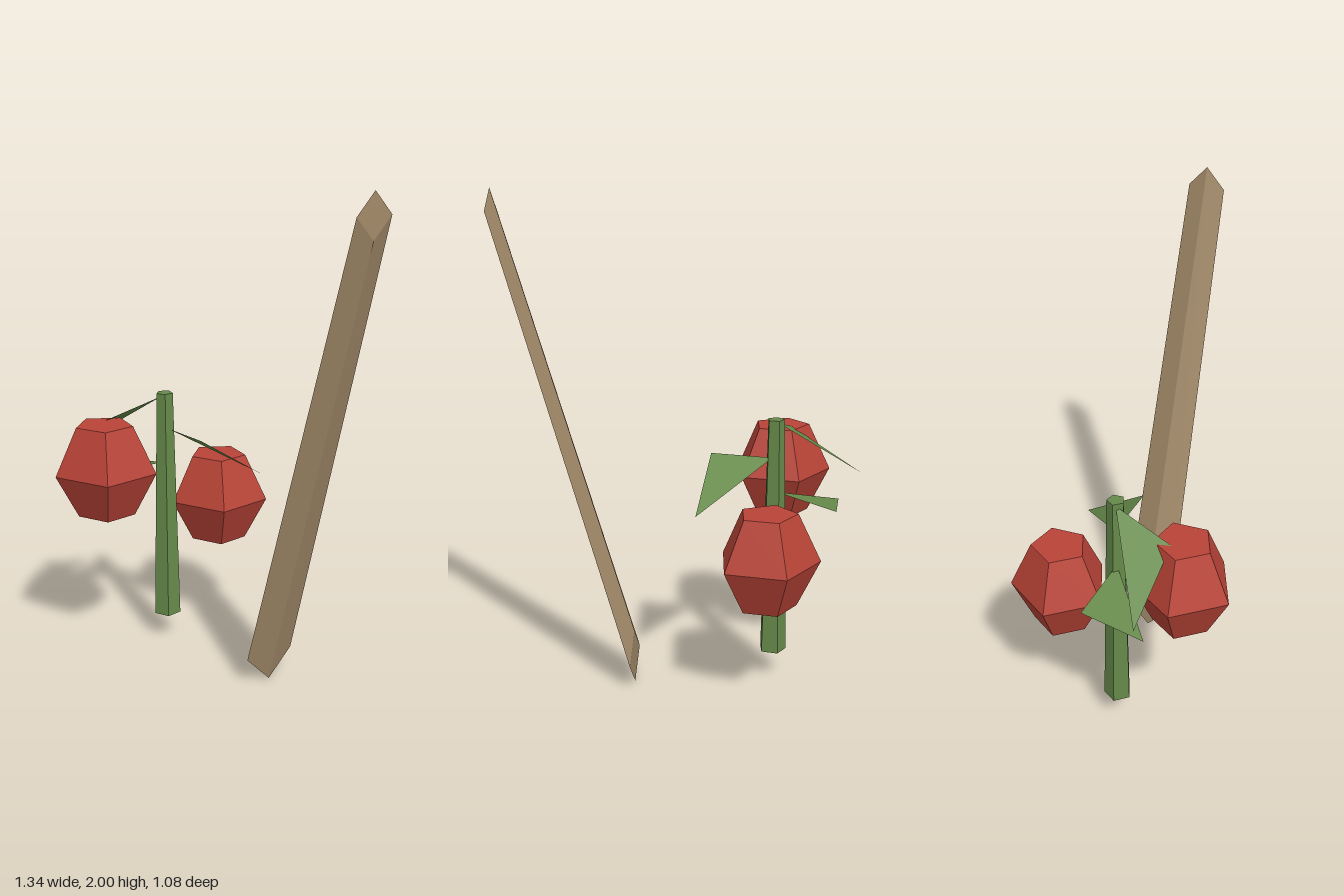
import * as THREE from 'three';
import { ConvexGeometry } from 'three/addons/geometries/ConvexGeometry.js';

const paint = (name, color, side = THREE.FrontSide) => {
  const m = new THREE.MeshStandardMaterial({ color, flatShading: true, side });
  m.name = name;
  return m;
};

export function createModel() {
  const group = new THREE.Group();
  const red = paint('fruit red', 0xb84337);
  const green = paint('leaf green', 0x668a4a, THREE.DoubleSide);
  const brown = paint('stake brown', 0xa28a69);

  const add = (name, geometry, material) => {
    const mesh = new THREE.Mesh(geometry, material);
    mesh.name = name;
    group.add(mesh);
    return mesh;
  };

  // five-sided tapered stem, one corner towards +x
  add('stem', new THREE.CylinderGeometry(0.035, 0.0575, 0.985, 5, 1, false, Math.PI / 2), green)
    .position.set(-0.255, 0.61, -0.173);

  // faceted fruits: flat caps and a wide waist
  const profile = [[0, -0.188], [0.563, -0.188], [1, -0.007], [0.563, 0.188], [0, 0.188]]
    .map(([r, y]) => new THREE.Vector2(r, y));
  const fruits = { lowerFruit: [-0.067, 0.606, -0.352], upperFruit: [-0.457, 0.823, 0.025] };
  for (const [name, position] of Object.entries(fruits)) {
    const geometry = new THREE.LatheGeometry(profile, 5, Math.PI / 2);
    geometry.scale(0.2128, 1, 0.2015);
    add(name, geometry, red).position.set(...position);
  }

  // flat triangular leaves: stem end, side corner, tip
  const leaves = {
    leftLeaf: [[-0.24, 0.947, -0.173], [-0.065, 0.958, 0], [0.146, 0.778, -0.174]],
    upperRightLeaf: [[-0.268, 1.085, -0.178], [-0.67, 0.825, -0.237], [-0.468, 1.012, -0.028]],
    lowerRightLeaf: [[-0.262, 0.8, -0.174], [-0.417, 0.735, -0.363], [-0.607, 0.705, -0.178]],
  };
  for (const [name, corners] of Object.entries(leaves)) {
    // order the corners so that the face points up
    const [a, b, c] = corners.map(p => new THREE.Vector3(...p));
    const up = b.clone().sub(a).cross(c.clone().sub(a)).y > 0;
    const geometry = new THREE.BufferGeometry().setFromPoints(up ? [a, b, c] : [a, c, b]);
    geometry.computeVertexNormals();
    add(name, geometry, green);
  }

  // leaning stake with diamond-shaped upright ends
  const diamond = (x, y, z, w, h) => [
    new THREE.Vector3(x + w, y, z - w), new THREE.Vector3(x, y + h, z),
    new THREE.Vector3(x - w, y, z + w), new THREE.Vector3(x, y - h, z),
  ];
  add('stake', new ConvexGeometry([
    ...diamond(0.238, 0.112, 0.119, 0.076, 0.112),
    ...diamond(0.617, 1.918, 0.484, 0.054, 0.082),
  ]), brown);

  return group;
}
